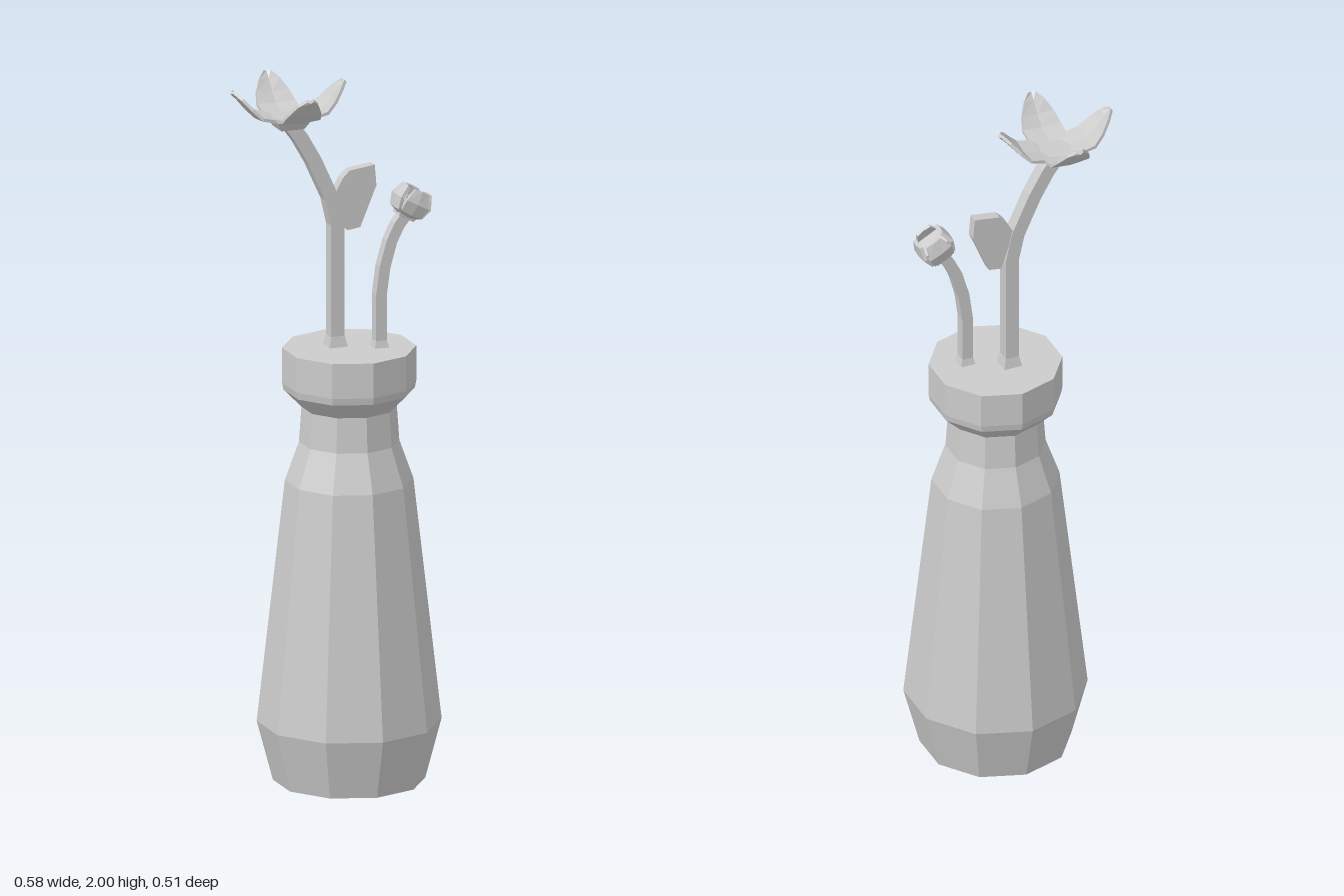
import * as THREE from 'three';

const material = new THREE.MeshStandardMaterial({ color: 0xcccccc, flatShading: true });

function addMesh(parent, geometry, name) {
  const mesh = new THREE.Mesh(geometry, material);
  mesh.name = name;
  parent.add(mesh);
  return mesh;
}

// Skin a row of equal-sized rings (counter-clockwise about the direction of travel) and cap both ends
function loft(rings) {
  const pos = [];
  const n = rings[0].length;
  const tri = (...pts) => pts.forEach((p) => pos.push(p.x, p.y, p.z));
  for (let i = 0; i < rings.length - 1; i++) {
    for (let j = 0; j < n; j++) {
      const k = (j + 1) % n;
      const a = rings[i][j], b = rings[i][k], c = rings[i + 1][k], d = rings[i + 1][j];
      tri(a, b, c);
      tri(a, c, d);
    }
  }
  const first = rings[0], last = rings[rings.length - 1];
  for (let j = 1; j < n - 1; j++) {
    tri(first[0], first[j + 1], first[j]);
    tri(last[0], last[j], last[j + 1]);
  }
  const g = new THREE.BufferGeometry();
  g.setAttribute('position', new THREE.Float32BufferAttribute(pos, 3));
  g.computeVertexNormals();
  return g;
}

// Square stem that bends in the x-y plane, with a small flare at its foot
function stemGeometry(points, z, half) {
  const p = points.map(([x, y]) => new THREE.Vector2(x, y));
  return loft(p.map((c, i) => {
    const t = p[Math.min(i + 1, p.length - 1)].clone().sub(p[Math.max(i - 1, 0)]).normalize();
    const h = i === 0 ? half * 1.35 : half;
    return [[1, 1], [1, -1], [-1, -1], [-1, 1]].map(
      ([s, w]) => new THREE.Vector3(c.x + t.y * h * s, c.y - t.x * h * s, z + h * w));
  }));
}

// Petal growing along +z; stations are [reach, height, half width]
function petalGeometry(stations, thickness, cup) {
  return loft(stations.map(([r, y, w], i) => {
    const a = stations[Math.max(i - 1, 0)], b = stations[Math.min(i + 1, stations.length - 1)];
    const n = new THREE.Vector2(a[1] - b[1], b[0] - a[0]).normalize();
    const at = (x, lift) => new THREE.Vector3(x, y + n.y * lift, r + n.x * lift);
    return [at(-w, cup), at(0, 0), at(w, cup),
      at(w, cup + thickness), at(0, thickness), at(-w, cup + thickness)];
  }));
}

function petalHead(name, stations, thickness, cup) {
  const head = new THREE.Group();
  head.name = name;
  const geometry = petalGeometry(stations, thickness, cup);
  for (let i = 0; i < 4; i++) {
    addMesh(head, geometry, name + 'Petal').rotation.y = i * Math.PI / 2;
  }
  return head;
}

// Tapered square cup
function cupGeometry(top, bottom, height) {
  return new THREE.CylinderGeometry(top * Math.SQRT2, bottom * Math.SQRT2, height, 4, 1)
    .rotateY(Math.PI / 4).translate(0, height / 2, 0);
}

export function createModel() {
  const model = new THREE.Group();
  model.name = 'vaseWithFlowers';

  // Ten-sided vase, closed at both ends
  const profile = [[0, 0], [0.211, 0], [0.256, 0.17], [0.178, 0.86], [0.139, 0.97], [0.132, 1.07],
    [0.182, 1.12], [0.186, 1.14], [0.186, 1.24], [0, 1.24]].map(([r, y]) => new THREE.Vector2(r, y));
  addMesh(model, new THREE.LatheGeometry(profile, 10), 'vase').position.x = 0.048;

  // Stems
  addMesh(model, stemGeometry([[0.018, 1.24], [0.018, 1.27], [0.018, 1.59], [0, 1.67],
    [-0.05, 1.78], [-0.09, 1.85], [-0.12, 1.89]], -0.028, 0.02), 'tallStem');
  addMesh(model, stemGeometry([[0.127, 1.24], [0.127, 1.26], [0.127, 1.39], [0.138, 1.47],
    [0.158, 1.54], [0.18, 1.585], [0.2, 1.61]], 0.027, 0.016), 'shortStem');

  // Leaf on the tall stem
  const leafShape = new THREE.Shape([[0.05, 1.57], [0.087, 1.575], [0.135, 1.69], [0.13, 1.75],
    [0.055, 1.74], [0.035, 1.72], [0.013, 1.68]].map(([x, y]) => new THREE.Vector2(x, y)));
  const leaf = new THREE.ExtrudeGeometry(leafShape, { depth: 0.03, bevelEnabled: false });
  addMesh(model, leaf, 'leaf').position.z = -0.045;

  // Open flower
  const flower = petalHead('flower', [[0.025, 0.017, 0.045], [0.055, 0.025, 0.056], [0.1, 0.036, 0.057],
    [0.13, 0.065, 0.048], [0.155, 0.095, 0.03], [0.172, 0.112, 0.01]], 0.009, 0.005);
  addMesh(flower, cupGeometry(0.052, 0.034, 0.032), 'flowerCup');
  flower.position.set(-0.121, 1.88, -0.028);
  model.add(flower);

  // Closed bud, leaning outward
  const bud = petalHead('bud', [[0.015, 0, 0.018], [0.042, 0.015, 0.033], [0.053, 0.05, 0.036],
    [0.042, 0.088, 0.022]], 0.01, 0.003);
  addMesh(bud, cupGeometry(0.036, 0.024, 0.06), 'budCore');
  bud.position.set(0.197, 1.605, 0.03);
  bud.rotation.z = -0.5;
  model.add(bud);

  return model;
}
